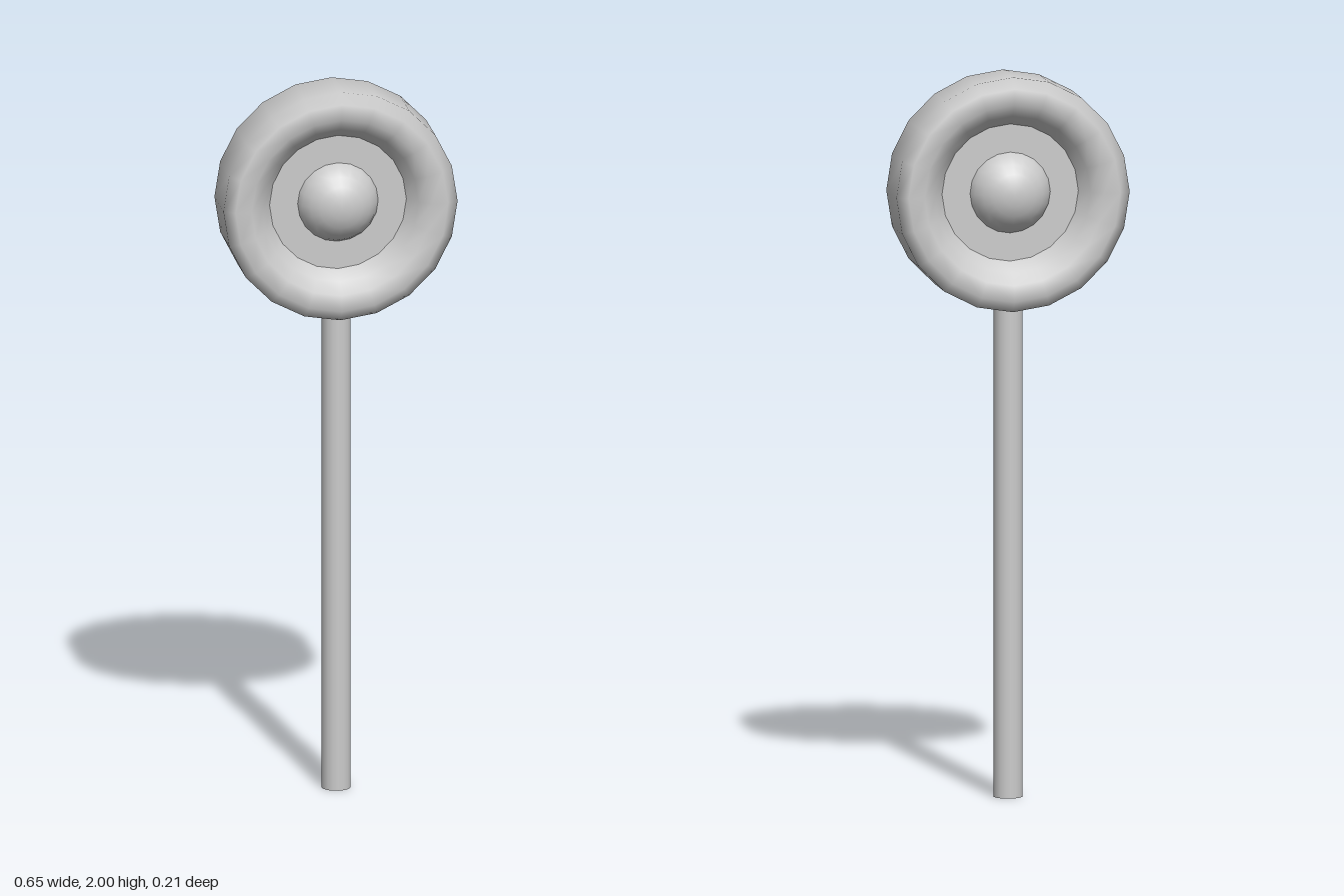
import * as THREE from 'three';

export function createModel() {
  const model = new THREE.Group();
  const material = new THREE.MeshStandardMaterial({ color: 0xcccccc });
  const headY = 1.677, sides = 20;

  function add(name, geometry, y) {
    const mesh = new THREE.Mesh(geometry, material);
    mesh.name = name;
    mesh.position.y = y;
    model.add(mesh);
    return mesh;
  }

  // Straight round stick
  const stickHeight = 1.37;
  add('stick', new THREE.CylinderGeometry(0.04, 0.04, stickHeight, 16), stickHeight / 2);

  // Ring with a bevelled outside and dished inside, mirrored front to back
  const half = [[0.325, 0.075], [0.295, 0.097], [0.25, 0.095], [0.217, 0.07], [0.19, 0.032]];
  const profile = [
    ...half.map(([r, z]) => new THREE.Vector2(r, -z)).reverse(),
    ...half.map(([r, z]) => new THREE.Vector2(r, z)),
  ];
  add('ring', new THREE.LatheGeometry(profile, sides).rotateX(Math.PI / 2), headY);

  // Flat plate closing the ring
  add('plate', new THREE.CylinderGeometry(0.192, 0.192, 0.064, sides).rotateX(Math.PI / 2), headY);

  // Slightly flattened ball showing on both faces
  const ball = new THREE.SphereGeometry(0.118, sides, 12).rotateX(Math.PI / 2);
  add('centreBall', ball.scale(1, 1, 0.9), headY);

  return model;
}
